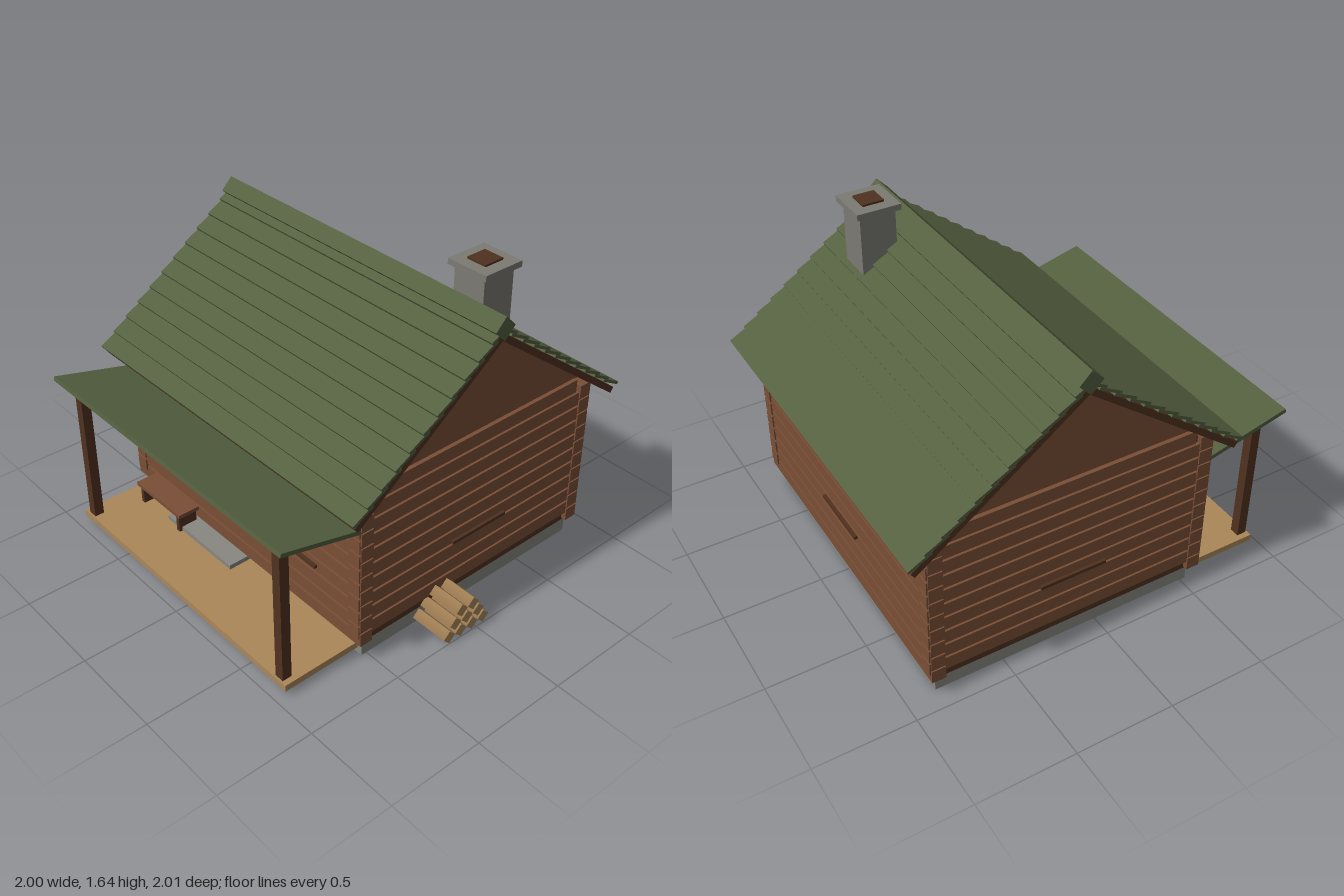
import * as THREE from 'three';

const mat = (name, color) => {
  const m = new THREE.MeshStandardMaterial({ color });
  m.name = name;
  return m;
};

export function createModel() {
  const logs = mat('log brown', 0x7a4f37);
  const dark = mat('dark timber', 0x50321f);
  const green = mat('roof green', 0x546040);
  const stone = mat('foundation stone', 0x888781);
  const brick = mat('chimney stone', 0x7b7a73);
  const tan = mat('fresh wood', 0xab875a);
  const glass = mat('window glass', 0x8f9a98);

  const model = new THREE.Group();
  model.name = 'logCabin';

  // Box given by its lower and upper limits on each axis
  const box = (name, m, x0, x1, y0, y1, z0, z1, parent = model) => {
    const mesh = new THREE.Mesh(new THREE.BoxGeometry(x1 - x0, y1 - y0, z1 - z0), m);
    mesh.position.set((x0 + x1) / 2, (y0 + y1) / 2, (z0 + z1) / 2);
    mesh.name = name;
    parent.add(mesh);
    return mesh;
  };
  const group = (name, parent = model) => {
    const g = new THREE.Group();
    g.name = name;
    parent.add(g);
    return g;
  };

  // Wall centre lines
  const X0 = -0.89, X1 = 0.785, Z0 = -0.85, Z1 = 0.535;
  const CX = (X0 + X1) / 2, RZ = -0.163;

  // Foundation, entrance step and porch deck
  box('foundation', stone, -0.89, 0.79, 0, 0.095, -0.85, 0.53);
  box('entranceStep', stone, -0.53, -0.01, 0, 0.09, 0.53, 0.67);
  box('porchDeck', tan, -0.87, 0.765, 0.032, 0.066, 0.525, 0.952);

  // Interlocking log walls around a recessed core
  const walls = group('walls');
  box('wallCore', dark, X0 - 0.015, X1 + 0.015, 0.09, 0.9, Z0 - 0.015, Z1 + 0.015, walls);
  const half = 0.035, over = 0.042, pitch = 0.0815, logH = 0.069;
  for (let k = 0; k < 10; k++) {
    const ya = 0.102 + k * pitch, yb = 0.146 + k * pitch;
    for (const z of [Z0, Z1])
      box('longLog', logs, X0 - over, X1 + over, ya, ya + logH, z - half, z + half, walls);
    const trim = k === 9 ? -0.06 : over;
    for (const x of [X0, X1])
      box('crossLog', logs, x - half, x + half, yb, yb + logH, Z0 - trim, Z1 + trim, walls);
  }

  // Recessed gables
  const tri = new THREE.Shape([
    new THREE.Vector2(-0.66, 0.945), new THREE.Vector2(0.66, 0.945), new THREE.Vector2(0, 1.44)]);
  for (const x of [X0 - 0.015, X1 - 0.025]) {
    const g = new THREE.Mesh(new THREE.ExtrudeGeometry(tri, { depth: 0.04, bevelEnabled: false }), logs);
    g.rotation.y = Math.PI / 2;
    g.position.set(x, 0, RZ);
    g.name = 'gable';
    model.add(g);
  }

  // Window sills, with panes set behind the logs
  box('frontSill', dark, 0.11, 0.53, 0.373, 0.39, Z1, Z1 + 0.05);
  box('backSill', dark, -0.225, 0.12, 0.393, 0.41, Z0 - 0.05, Z0);
  box('leftSill', dark, X1, X1 + 0.05, 0.393, 0.41, -0.333, 0.01);
  box('rightSill', dark, X0 - 0.05, X0, 0.393, 0.41, -0.333, 0.01);
  for (const s of [-1, 1]) {
    const fx = 0.32 + s * 0.095, bx = CX + s * 0.065, sz = -0.162 + s * 0.065;
    box('frontPane', glass, fx - 0.085, fx + 0.085, 0.42, 0.69, Z1 + 0.012, Z1 + 0.02);
    box('backPane', glass, bx - 0.055, bx + 0.055, 0.44, 0.66, Z0 - 0.02, Z0 - 0.012);
    box('leftPane', glass, X1 + 0.012, X1 + 0.02, 0.44, 0.66, sz - 0.055, sz + 0.055);
    box('rightPane', glass, X0 - 0.02, X0 - 0.012, 0.44, 0.66, sz - 0.055, sz + 0.055);
  }

  // Main roof: each slope is a board with overlapping, slightly lifted slats
  const hw = 0.9475;
  for (const turn of [0, Math.PI]) {
    const side = group('roofSide');
    side.position.set(CX, 1.472, RZ);
    side.rotation.y = turn;
    const slope = group('roofSlope', side);
    slope.rotation.x = 0.64;
    box('roofBoard', dark, -hw + 0.01, hw - 0.01, -0.032, 0, 0, 1.03, slope);
    for (let i = 0; i < 11; i++) {
      const len = i === 10 ? 0.08 : 0.125;
      const slat = group('shingleRow', slope);
      slat.position.set(0, 0.02, 1.03 - i * 0.0955);
      slat.rotation.x = -0.15;
      box('shingle', green, -hw, hw, 0, 0.014, -len, 0, slat);
    }
  }
  const ridge = box('ridgeBeam', green, CX - hw, CX + hw, 1.454, 1.538, RZ - 0.042, RZ + 0.042);
  ridge.rotation.x = Math.PI / 4;

  // Chimney
  box('chimneyStack', brick, 0.49, 0.67, 1.2, 1.605, -0.445, -0.262);
  box('chimneyCap', brick, 0.465, 0.695, 1.605, 1.635, -0.468, -0.242);
  box('flue', dark, 0.525, 0.635, 1.63, 1.645, -0.41, -0.3);

  // Porch roof and posts
  const porch = box('porchRoof', green, -0.925, 0.82, 0.785, 0.807, 0.473, 1.007);
  porch.rotation.x = -0.245;
  for (const x of [-0.815, 0.71])
    box('porchPost', dark, x - 0.025, x + 0.025, 0.066, 0.812, 0.892, 0.942);

  // Bench
  box('benchSeat', logs, -0.765, -0.39, 0.16, 0.18, 0.575, 0.695);
  for (const x of [-0.732, -0.418])
    box('benchLeg', dark, x - 0.012, x + 0.012, 0.066, 0.16, 0.583, 0.687);

  // Stacked firewood
  const pile = group('firewood');
  for (let row = 0; row < 3; row++)
    for (let i = 0; i < 4 - row; i++) {
      const piece = new THREE.Mesh(new THREE.CylinderGeometry(0.036, 0.036, 0.205, 4), tan);
      piece.rotation.z = Math.PI / 2;
      piece.position.set(0.895, 0.037 + row * 0.06, 0.174 - row * 0.037 - i * 0.0735);
      piece.name = 'splitLog';
      pile.add(piece);
    }

  return model;
}
